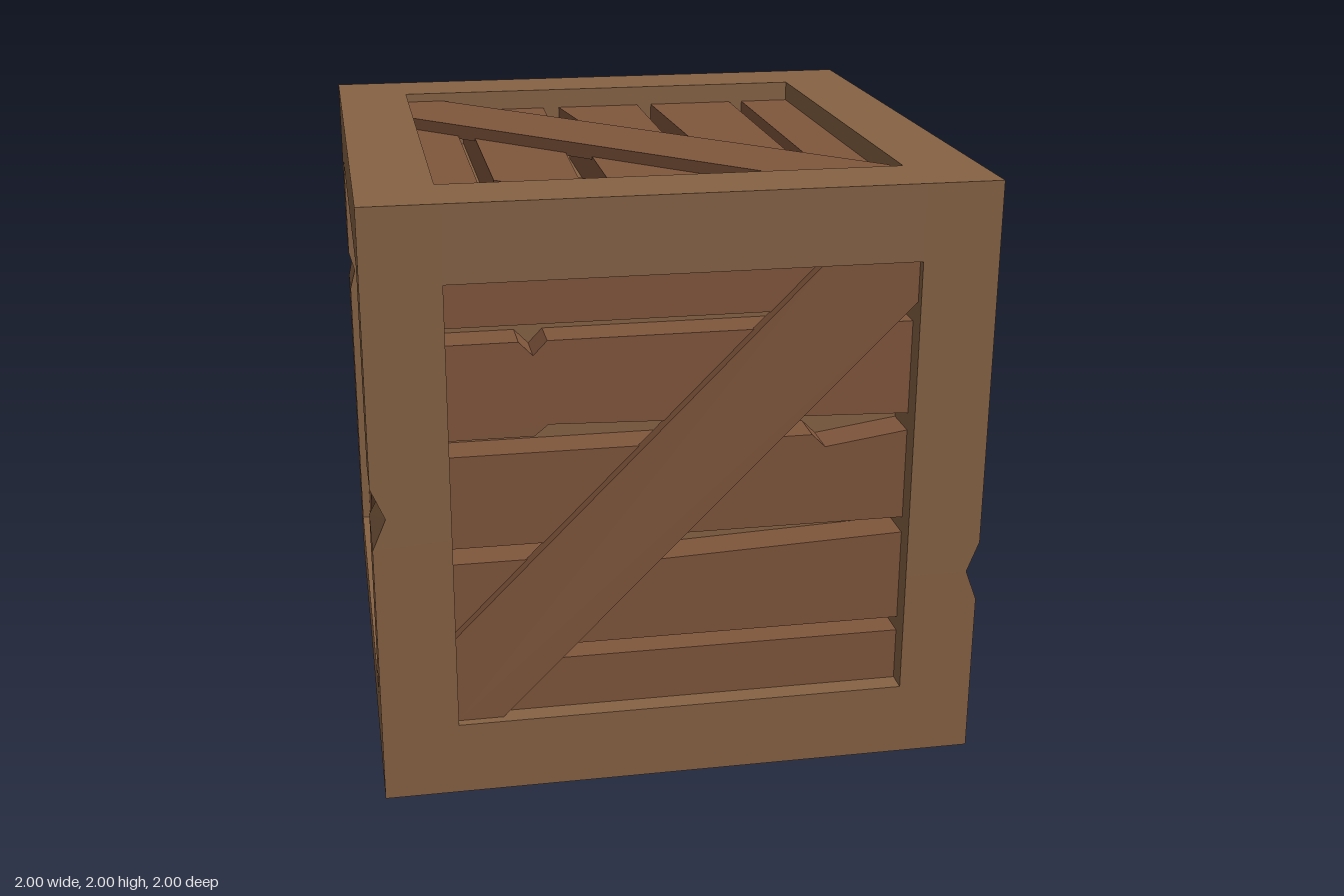
import * as THREE from 'three';

const frameMat = new THREE.MeshStandardMaterial({ color: 0x876244, flatShading: true });
const plankMat = new THREE.MeshStandardMaterial({ color: 0x80563c, flatShading: true });

const HALF = 1;        // half size of the crate
const BAR = 0.25;      // frame bar thickness
const OPEN = HALF - BAR;
const BACK = 0.8, PLANK = 0.93, BRACE = 0.97; // depths measured from the centre

function addMesh(parent, name, geometry, material) {
  const mesh = new THREE.Mesh(geometry, material);
  mesh.name = name;
  parent.add(mesh);
  return mesh;
}

// Outlines on a face, u to the right and v up, centred on the face
const plankOutlines = [
  [[-0.75, -0.75], [0.75, -0.75], [0.75, -0.57], [-0.75, -0.57]],
  [[-0.75, -0.52], [0.75, -0.52], [0.75, -0.205], [-0.12, -0.24], [-0.19, -0.205], [-0.75, -0.205]],
  [[-0.75, -0.15], [0.75, -0.15], [0.75, 0.16], [0.475, 0.12], [0.43, 0.165], [-0.75, 0.165]],
  [[-0.75, 0.22], [-0.475, 0.22], [-0.43, 0.257], [0.75, 0.22], [0.75, 0.535],
    [-0.43, 0.535], [-0.475, 0.488], [-0.52, 0.535], [-0.75, 0.535]],
  [[-0.75, 0.59], [0.75, 0.59], [0.75, 0.75], [-0.75, 0.75]],
];
const braceOutline = [[-0.75, -0.75], [-0.6, -0.75], [0.75, 0.61], [0.75, 0.75], [0.44, 0.75], [-0.75, -0.45]];

function slab(outline, from, to) {
  const shape = new THREE.Shape(outline.map(([u, v]) => new THREE.Vector2(u, v)));
  return new THREE.ExtrudeGeometry(shape, { depth: to - from, bevelEnabled: false }).translate(0, 0, from);
}

// Corner post with a V-shaped chip across its outer x and/or z side
function postGeometry(sx, sz, { y, dx, dz, half }) {
  const g = new THREE.BoxGeometry(BAR, 2, BAR, 1, 4, 1);
  const p = g.attributes.position;
  for (let i = 0; i < p.count; i++) {
    const outX = p.getX(i) * sx > 0, outZ = p.getZ(i) * sz > 0;
    const level = Math.round((p.getY(i) + 1) * 2); // 0 .. 4
    const reach = outX && outZ ? half : half * 0.82;
    p.setY(i, [-1, y - reach, y, y + reach, 1][level]);
    if (level === 2) {
      if (outX) p.setX(i, p.getX(i) - sx * dx);
      if (outZ) p.setZ(i, p.getZ(i) - sz * dz);
    }
  }
  const flat = g.toNonIndexed();
  flat.computeVertexNormals();
  return flat.translate(sx * (HALF - BAR / 2), 0, sz * (HALF - BAR / 2));
}

export function createModel() {
  const model = new THREE.Group();
  model.name = 'crate';
  const crate = new THREE.Group();
  crate.name = 'crateBody';
  crate.position.y = HALF;
  model.add(crate);

  // Frame: four chipped posts and eight rails
  const frame = new THREE.Group();
  frame.name = 'frame';
  crate.add(frame);
  const posts = [
    [1, 1, { y: -0.335, dx: 0.04, dz: 0, half: 0.105 }],
    [1, -1, { y: 0.01, dx: 0.04, dz: 0.035, half: 0.105 }],
    [-1, 1, { y: 0, dx: 0.045, dz: 0, half: 0.105 }],
    [-1, -1, { y: 0.31, dx: 0.02, dz: 0, half: 0.09 }],
  ];
  for (const [sx, sz, chip] of posts) addMesh(frame, 'cornerPost', postGeometry(sx, sz, chip), frameMat);
  const c = HALF - BAR / 2;
  for (const sy of [-1, 1]) {
    for (const s of [-1, 1]) {
      addMesh(frame, 'crossRail', new THREE.BoxGeometry(2 * OPEN, BAR, BAR), frameMat).position.set(0, sy * c, s * c);
      addMesh(frame, 'sideRail', new THREE.BoxGeometry(BAR, BAR, 2 * OPEN), frameMat).position.set(s * c, sy * c, 0);
    }
  }

  // Backing seen through the gaps between planks
  addMesh(crate, 'backing', new THREE.BoxGeometry(2 * BACK, 2 * BACK, 2 * BACK), frameMat);

  // Six identical panels of planks with a diagonal brace
  const plankGeometries = plankOutlines.map((o) => slab(o, BACK - 0.02, PLANK));
  const braceGeometry = slab(braceOutline, PLANK - 0.01, BRACE);
  const v = (x, y, z) => new THREE.Vector3(x, y, z);
  const panels = [ // name, u, v and outward directions
    ['frontPanel', v(1, 0, 0), v(0, 1, 0), v(0, 0, 1)],
    ['leftPanel', v(0, 0, -1), v(0, 1, 0), v(1, 0, 0)],
    ['backPanel', v(-1, 0, 0), v(0, 1, 0), v(0, 0, -1)],
    ['rightPanel', v(0, 0, 1), v(0, 1, 0), v(-1, 0, 0)],
    ['topPanel', v(0, 0, -1), v(-1, 0, 0), v(0, 1, 0)],
    ['bottomPanel', v(0, 0, -1), v(1, 0, 0), v(0, -1, 0)],
  ];
  for (const [name, u, w, n] of panels) {
    const panel = new THREE.Group();
    panel.name = name;
    panel.quaternion.setFromRotationMatrix(new THREE.Matrix4().makeBasis(u, w, n));
    plankGeometries.forEach((g) => addMesh(panel, 'plank', g, plankMat));
    addMesh(panel, 'diagonalBrace', braceGeometry, plankMat);
    crate.add(panel);
  }
  return model;
}
